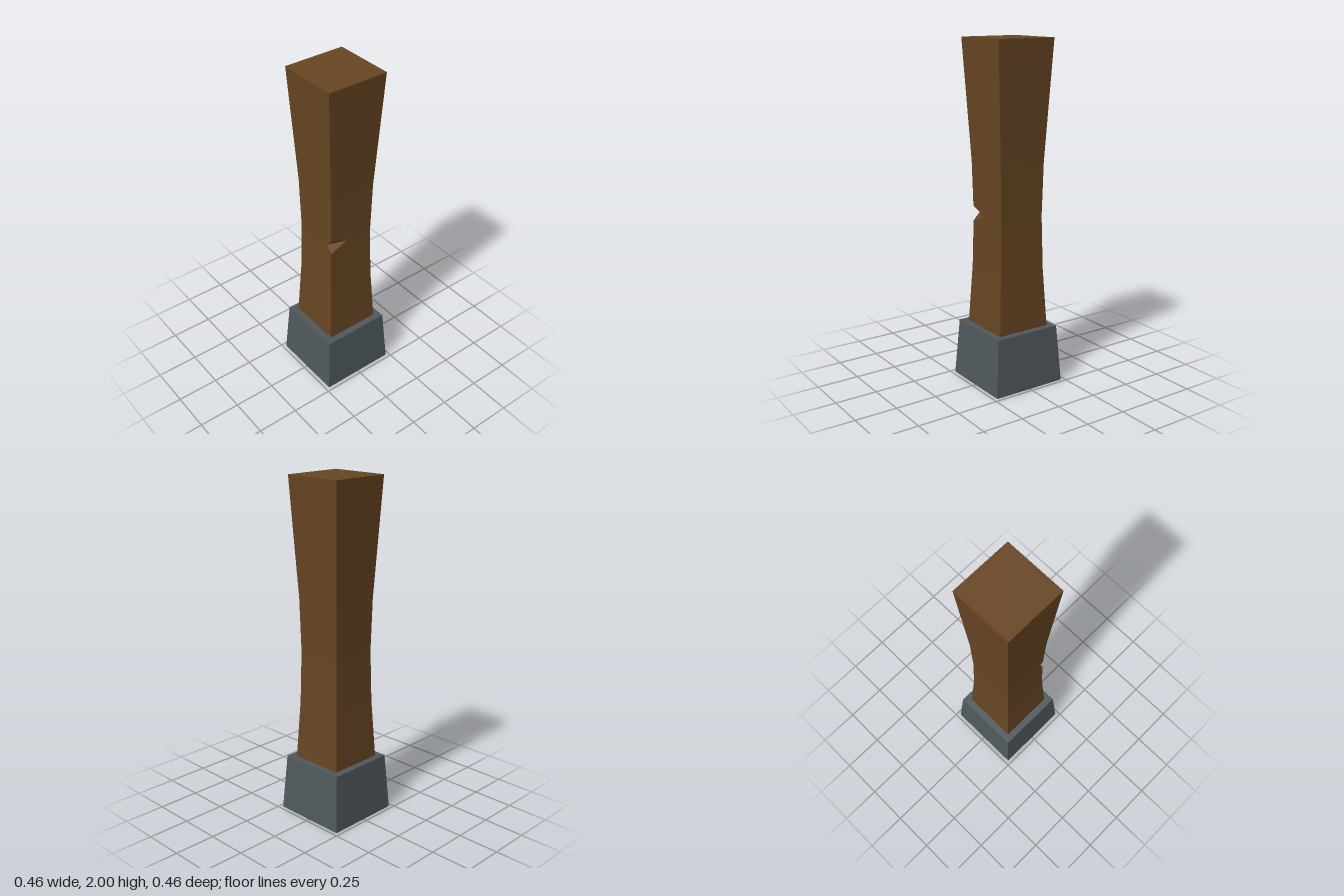
import * as THREE from 'three';

const wood = new THREE.MeshStandardMaterial({ name: 'brown wood', color: 0x674522 });
const stone = new THREE.MeshStandardMaterial({ name: 'grey stone', color: 0x4f585c });

// Levels of the post: [height, half width]
const LEVELS = [
  [0.02, 0.182], [0.69, 0.1465], [0.955, 0.141], [1.0, 0.14],
  [1.045, 0.141], [1.31, 0.1465], [2.0, 0.183],
];
const NOTCH = 3; // level where the corner is chipped
const CHIP_X = -0.03, CHIP_Z = 0.1;

// Square ring with two extra points beside the chipped corner
function ring([y, w], chipped) {
  const corner = chipped ? [(-w + CHIP_X) / 2, y, (CHIP_Z + w) / 2] : [-w, y, w];
  return [[w, y, w], [w, y, -w], [-w, y, -w], [-w, y, CHIP_Z], corner, [CHIP_X, y, w]];
}

function postGeometry() {
  const rings = LEVELS.map((level, i) => ring(level, i === NOTCH));
  const positions = [];
  const tri = (...points) => points.forEach((p) => positions.push(...p));

  for (let i = 0; i < rings.length - 1; i++) {
    for (let j = 0; j < 6; j++) {
      const k = (j + 1) % 6;
      const a = rings[i][j], b = rings[i][k], c = rings[i + 1][k], d = rings[i + 1][j];
      // Diagonals run from the intact corner to the ends of the chip crease
      const flip = (j === 3 && i === NOTCH - 1) || (j === 4 && i === NOTCH);
      if (flip) { tri(a, b, d); tri(b, c, d); } else { tri(a, b, c); tri(a, c, d); }
    }
  }

  // End caps
  const top = rings[rings.length - 1], bottom = rings[0];
  for (const [j, k] of [[1, 2], [2, 4]]) {
    tri(top[0], top[j], top[k]);
    tri(bottom[0], bottom[k], bottom[j]);
  }

  const geometry = new THREE.BufferGeometry();
  geometry.setAttribute('position', new THREE.Float32BufferAttribute(positions, 3));
  geometry.computeVertexNormals();
  return geometry;
}

// Tapered square block
function footGeometry(bottomHalf, topHalf, height) {
  const geometry = new THREE.CylinderGeometry(topHalf * Math.SQRT2, bottomHalf * Math.SQRT2, height, 4)
    .rotateY(Math.PI / 4)
    .translate(0, height / 2, 0)
    .toNonIndexed();
  geometry.computeVertexNormals();
  return geometry;
}

export function createModel() {
  const model = new THREE.Group();
  model.name = 'woodenPost';

  const post = new THREE.Mesh(postGeometry(), wood);
  post.name = 'post';

  const foot = new THREE.Mesh(footGeometry(0.228, 0.205, 0.34), stone);
  foot.name = 'stoneFoot';

  model.add(post, foot);
  return model;
}
